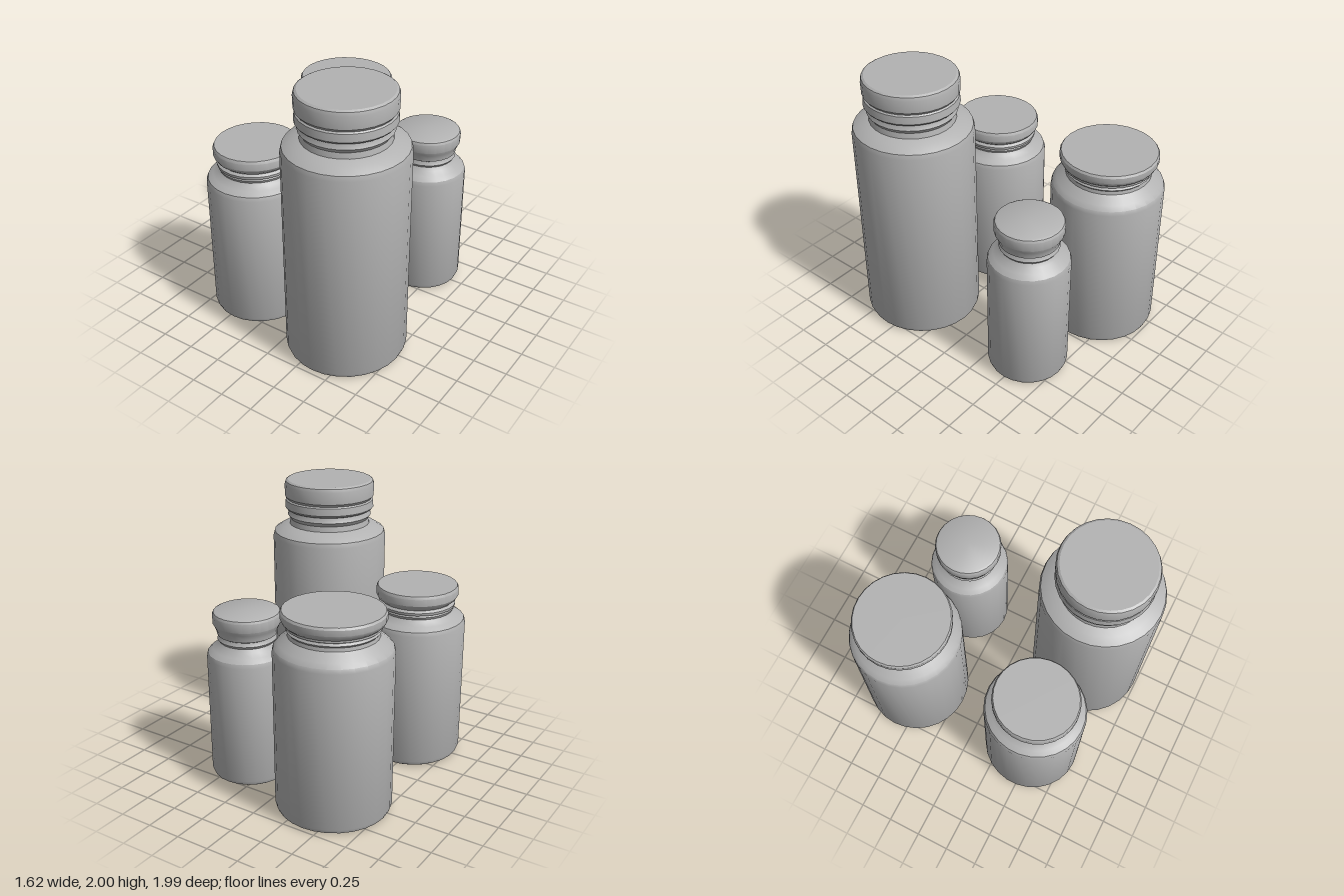
import * as THREE from 'three';
import { toCreasedNormals } from 'three/addons/utils/BufferGeometryUtils.js';

const grey = new THREE.MeshStandardMaterial({ color: 0xb2b2b2 });
grey.name = 'plain grey';

// Closed turned solid from [radius, y] pairs, listed bottom to top
function turned(name, profile, segments) {
  const points = profile.map(([r, y]) => new THREE.Vector2(r, y));
  const geometry = toCreasedNormals(new THREE.LatheGeometry(points, segments), 0.5);
  const mesh = new THREE.Mesh(geometry, grey);
  mesh.name = name;
  return mesh;
}

// Each jar: centre, depth stretch, wall radius, then profiles above the wall
const jars = [
  {
    name: 'tallJar', x: 0.375, z: 0.553, depth: 1.018, radius: 0.43, segments: 28,
    neck: [[0.43, 1.57], [0.42, 1.605], [0.365, 1.64], [0.305, 1.66], [0.297, 1.7], [0.318, 1.73], [0.308, 1.75], [0.3, 1.8]],
    lid: [[0.3, 1.765], [0.325, 1.775], [0.337, 1.79], [0.332, 1.845], [0.322, 1.855], [0.337, 1.875], [0.339, 1.965], [0.331, 1.99], [0.315, 2]],
  },
  {
    name: 'wideJar', x: -0.4, z: -0.594, depth: 0.985, radius: 0.411, segments: 28,
    neck: [[0.411, 1.18], [0.402, 1.21], [0.372, 1.24], [0.33, 1.273], [0.31, 1.29], [0.305, 1.315], [0.318, 1.33], [0.305, 1.345], [0.305, 1.38]],
    lid: [[0.3, 1.345], [0.325, 1.355], [0.325, 1.37], [0.342, 1.385], [0.355, 1.41], [0.355, 1.45], [0.345, 1.465]],
  },
  {
    name: 'mediumJar', x: -0.452, z: 0.468, depth: 1.035, radius: 0.358, segments: 26,
    neck: [[0.358, 1.055], [0.347, 1.085], [0.31, 1.11], [0.277, 1.13], [0.262, 1.15], [0.272, 1.17], [0.255, 1.19], [0.25, 1.23]],
    lid: [[0.25, 1.175], [0.277, 1.185], [0.28, 1.205], [0.262, 1.22], [0.285, 1.24], [0.3, 1.265], [0.3, 1.315], [0.29, 1.335]],
  },
  {
    name: 'smallJar', x: 0.387, z: -0.503, depth: 1, radius: 0.292, segments: 24,
    neck: [[0.292, 0.935], [0.283, 0.965], [0.25, 0.995], [0.215, 1.02], [0.198, 1.045], [0.212, 1.065], [0.2, 1.085], [0.195, 1.12]],
    lid: [[0.195, 1.09], [0.212, 1.1], [0.216, 1.125], [0.228, 1.155], [0.241, 1.18], [0.243, 1.245], [0.235, 1.262], [0.22, 1.27]],
  },
];

export function createModel() {
  const model = new THREE.Group();
  model.name = 'jarSet';
  for (const { name, x, z, depth, radius, segments, neck, lid } of jars) {
    const jar = new THREE.Group();
    jar.name = name;

    // Bevelled foot, straight wall, shoulder and neck
    const foot = [[0, 0], [radius - 0.035, 0], [radius - 0.012, 0.015], [radius, 0.045]];
    const neckTop = neck[neck.length - 1][1];
    jar.add(turned('body', [...foot, ...neck, [0, neckTop]], segments));

    // Flared lid with a groove and a flat top
    const bottom = lid[0][1];
    const top = lid[lid.length - 1][1];
    jar.add(turned('lid', [[0, bottom], ...lid, [0, top]], segments));

    jar.position.set(x, 0, z);
    jar.scale.z = depth;
    model.add(jar);
  }
  return model;
}
